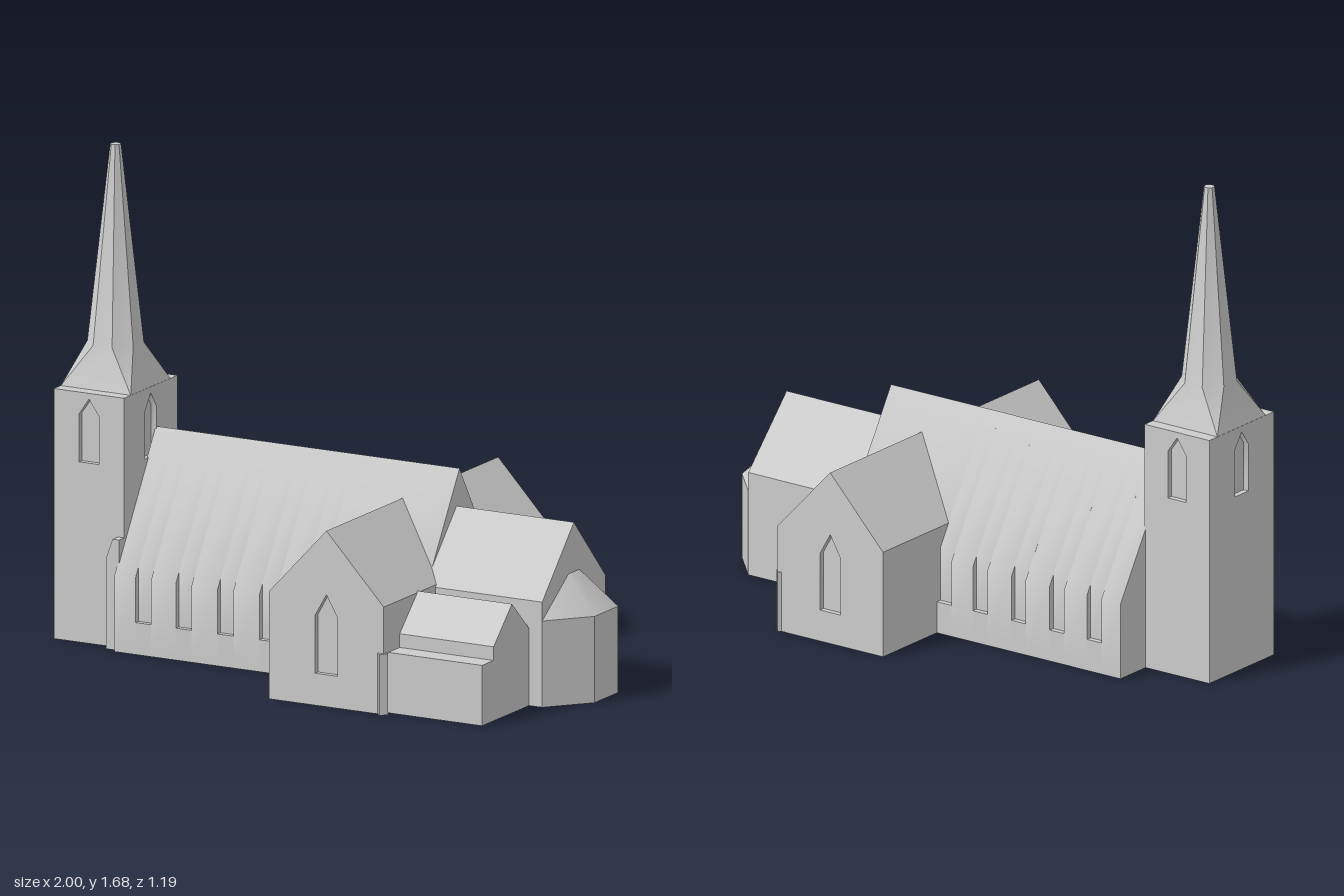
import * as THREE from 'three';
import { toCreasedNormals } from 'three/addons/utils/BufferGeometryUtils.js';

const DEPTH = 0.02; // depth of window recesses

export function createModel() {
  const church = new THREE.Group();
  church.name = 'church';
  const stone = new THREE.MeshStandardMaterial({ color: 0xcccccc });
  stone.name = 'pale stone';

  const add = (name, geometry, parent = church) => {
    const mesh = new THREE.Mesh(toCreasedNormals(geometry, 0.65), stone);
    mesh.name = name;
    parent.add(mesh);
    return mesh;
  };
  const group = (name) => {
    const g = new THREE.Group();
    g.name = name;
    church.add(g);
    return g;
  };
  const shapeOf = (points) => new THREE.Shape(points.map(([a, b]) => new THREE.Vector2(a, b)));
  const extrude = (shape, depth) => new THREE.ExtrudeGeometry(shape, { depth, bevelEnabled: false });

  // Prism along z from an (x, y) outline
  const alongZ = (shape, z0, z1) => extrude(shape, z1 - z0).translate(0, 0, z0);
  // Prism along x from a (z, y) outline
  const alongX = (points, x0, x1) =>
    extrude(shapeOf(points.map(([z, y]) => [-z, y])), x1 - x0).rotateY(Math.PI / 2).translate(x0, 0, 0);
  const box = (x0, x1, y0, y1, z0, z1) =>
    new THREE.BoxGeometry(x1 - x0, y1 - y0, z1 - z0).translate((x0 + x1) / 2, (y0 + y1) / 2, (z0 + z1) / 2);
  // Pointed window opening
  const lancet = (c, half, sill, spring, peak) => new THREE.Path([
    [c - half, sill], [c + half, sill], [c + half, spring], [c, peak], [c - half, spring],
  ].map(([a, b]) => new THREE.Vector2(a, b)));
  // Triangulated surface from convex polygons
  const faces = (polygons) => {
    const positions = [];
    for (const p of polygons)
      for (let i = 1; i < p.length - 1; i++) positions.push(...p[0], ...p[i], ...p[i + 1]);
    const g = new THREE.BufferGeometry();
    g.setAttribute('position', new THREE.Float32BufferAttribute(positions, 3));
    g.computeVertexNormals();
    return g;
  };

  // Tower: core with four pierced wall panels
  const tower = group('tower');
  const tx = -0.865, tz = 0.03, hx = 0.135, hz = 0.18, th = 0.86;
  add('towerCore', box(tx - hx + DEPTH, tx + hx - DEPTH, 0, th, tz - hz + DEPTH, tz + hz - DEPTH), tower);
  for (let i = 0; i < 4; i++) {
    const side = i % 2 === 1;
    const w = side ? hz - DEPTH : hx;
    const wall = shapeOf([[-w, 0], [w, 0], [w, th], [-w, th]]);
    wall.holes.push(lancet(0, 0.038, 0.62, 0.785, 0.84));
    const out = side ? hx : hz;
    const g = alongZ(wall, out - DEPTH, out).rotateY(i * Math.PI / 2).translate(tx, 0, tz);
    add('towerWall', g, tower);
  }

  // Spire: square foot, broached to an octagon, tapering to a small flat tip
  const ring = (apothem, y) => Array.from({ length: 8 }, (_, i) => {
    const a = (i + 0.5) * Math.PI / 4, r = apothem / Math.cos(Math.PI / 8);
    return [tx + r * Math.sin(a), y, tz + r * Math.cos(a)];
  });
  const low = ring(0.088, 1), tip = ring(0.017, 1.68);
  const foot = [[1, 1], [1, -1], [-1, -1], [-1, 1]].map(([a, b]) => [tx + 0.134 * a, th, tz + 0.134 * b]);
  const spire = [tip];
  for (let i = 0; i < 8; i++) spire.push([low[i], low[(i + 1) % 8], tip[(i + 1) % 8], tip[i]]);
  for (let k = 0; k < 4; k++) {
    spire.push([foot[k], low[2 * k + 1], low[2 * k]]);
    spire.push([foot[k], foot[(k + 1) % 4], low[(2 * k + 2) % 8], low[2 * k + 1]]);
  }
  add('spire', faces(spire), tower);

  // Nave: plain bays alternating with bays notched for the tall windows
  const nave = group('nave');
  const south = 0.265, north = -0.29, mid = -0.012, ridge = 0.715, eave = 0.265, sill = 0.11;
  const notchTop = eave + DEPTH * (ridge - eave) / (south - mid);
  const plainBay = [[north, 0], [south, 0], [south, eave], [mid, ridge], [north, eave]];
  const windowBay = [
    [north, 0], [south, 0], [south, sill], [south - DEPTH, sill], [south - DEPTH, notchTop],
    [mid, ridge], [north + DEPTH, notchTop], [north + DEPTH, sill], [north, sill],
  ];
  let x = -0.735;
  for (const c of [-0.625, -0.47, -0.31, -0.15, 0]) {
    add('naveBay', alongX(plainBay, x, c - 0.03), nave);
    add('naveWindowBay', alongX(windowBay, c - 0.03, c + 0.03), nave);
    x = c + 0.03;
  }
  add('naveCrossing', alongX(plainBay, x, 0.43), nave);

  // Sloped pier in the corner between tower and nave
  add('cornerPier', alongZ(shapeOf([[-0.78, 0], [-0.73, 0], [-0.73, 0.38], [-0.755, 0.38], [-0.78, 0.31]]), 0.2, 0.245), nave);

  // Transept with a window in each gable
  const transept = group('transept');
  const gable = () => shapeOf([[0.03, 0], [0.47, 0], [0.47, 0.37], [0.25, 0.605], [0.03, 0.37]]);
  const zBack = -0.59, zFront = 0.57;
  add('transeptBody', alongZ(gable(), zBack + DEPTH, zFront - DEPTH), transept);
  for (const z of [zBack, zFront - DEPTH]) {
    const wall = gable();
    wall.holes.push(lancet(0.25, 0.043, 0.11, 0.31, 0.385));
    add('transeptGable', alongZ(wall, z, z + DEPTH), transept);
  }
  // Small diagonal buttresses on the outer corners
  for (const z of [zBack + 0.012, zFront - 0.005]) {
    add('buttress', new THREE.BoxGeometry(0.03, 0.21, 0.03).rotateY(Math.PI / 4).translate(0.462, 0.105, z), transept);
  }

  // Chancel
  add('chancel', alongX([[-0.205, 0], [0.222, 0], [0.222, 0.362], [0.008, 0.59], [-0.205, 0.362]], 0.42, 0.88));

  // Apse: three-sided end with a hipped roof
  const plan = [[0.88, 0.222], [1, 0.08], [1, -0.08], [0.88, -0.205]];
  const at = (i, y) => [plan[i][0], y, plan[i][1]];
  const wallTop = 0.297;
  const peakS = [0.88, 0.42, 0.045], peakN = [0.88, 0.42, -0.03];
  const apse = [[at(3, 0), at(2, 0), at(1, 0), at(0, 0)]];
  for (let i = 0; i < 3; i++) apse.push([at(i, 0), at(i + 1, 0), at(i + 1, wallTop), at(i, wallTop)]);
  apse.push(
    [at(0, wallTop), at(1, wallTop), peakS],
    [at(1, wallTop), at(2, wallTop), peakN, peakS],
    [at(2, wallTop), at(3, wallTop), peakN],
  );
  add('apse', faces(apse));

  // Vestry with a gabled roof and a lower flat-topped front
  add('vestry', alongX([
    [0.2, 0], [0.54, 0], [0.54, 0.208], [0.462, 0.208], [0.462, 0.255], [0.338, 0.375], [0.2, 0.245],
  ], 0.46, 0.83));

  return church;
}
